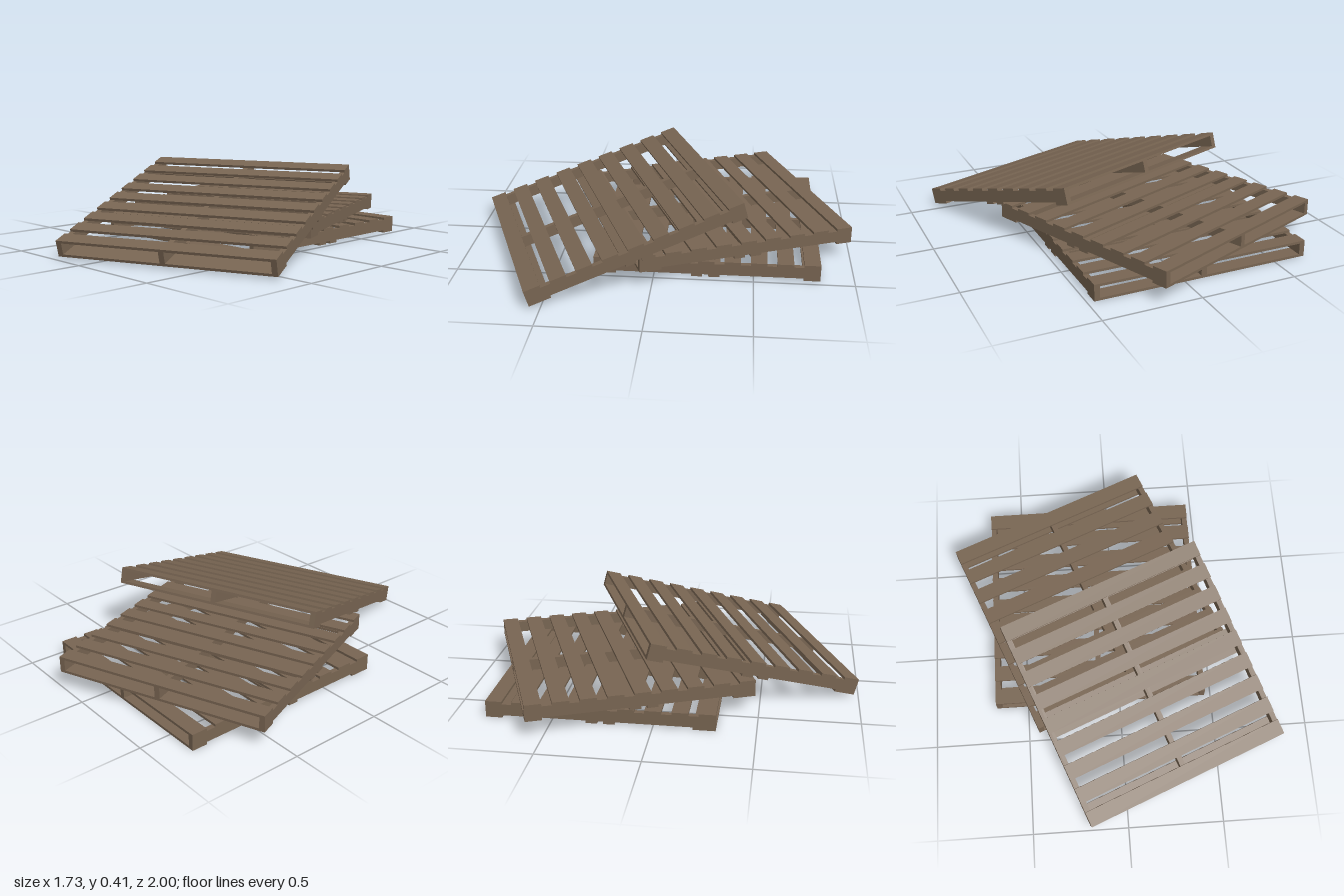
import * as THREE from 'three';

const SIZE = 1.136;      // pallet side length
const HEIGHT = 0.085;    // pallet thickness
const BOARD = 0.013;     // deck board thickness
const HALF = SIZE / 2;

const wood = new THREE.MeshStandardMaterial({ color: 0x786552 });
wood.name = 'weatheredWood';

function addBox(parent, name, w, h, d, x, y, z) {
  const mesh = new THREE.Mesh(new THREE.BoxGeometry(w, h, d), wood);
  mesh.name = name;
  mesh.position.set(x, y, z);
  parent.add(mesh);
}

// One pallet, standing on y = 0 and centred on x and z
function createPallet(name) {
  const pallet = new THREE.Group();
  pallet.name = name;

  // Nine evenly spaced top boards
  const width = 0.082, count = 9;
  const pitch = (SIZE - width) / (count - 1);
  for (let i = 0; i < count; i++) {
    addBox(pallet, 'topBoard', SIZE, BOARD, width,
      0, HEIGHT - BOARD / 2, -HALF + width / 2 + i * pitch);
  }

  // Three upright stringers
  const beam = 0.028;
  for (const side of [-1, 0, 1]) {
    addBox(pallet, 'stringer', beam, HEIGHT - 2 * BOARD, SIZE,
      side * (HALF - beam / 2), HEIGHT / 2, 0);
  }

  // Bottom boards: [back edge, front edge]
  for (const [z0, z1] of [[-HALF, -HALF + 0.082], [-0.068, -0.01], [0.02, 0.075], [HALF - 0.112, HALF]]) {
    addBox(pallet, 'bottomBoard', SIZE, BOARD, z1 - z0, 0, BOARD / 2, (z0 + z1) / 2);
  }
  return pallet;
}

export function createModel() {
  const model = new THREE.Group();
  model.name = 'palletStack';
  const turn = THREE.MathUtils.degToRad(22);
  const tilt = THREE.MathUtils.degToRad(16);

  // Square-on pallet on the ground
  const lower = createPallet('lowerPallet');
  lower.position.set(-0.102, 0, -0.263);

  // Turned pallet lying flat on the first
  const middle = createPallet('middlePallet');
  middle.position.set(-0.125, 0.088, -0.26);
  middle.rotation.y = turn;

  // Leaning pallet, placed by the centre of its top face
  const leaning = createPallet('leaningPallet');
  leaning.rotation.set(tilt, turn, 0, 'YXZ');
  const drop = new THREE.Vector3(0, -HEIGHT, 0).applyEuler(leaning.rotation);
  leaning.position.set(0.131, 0.25, 0.279).add(drop);

  model.add(lower, middle, leaning);
  return model;
}
